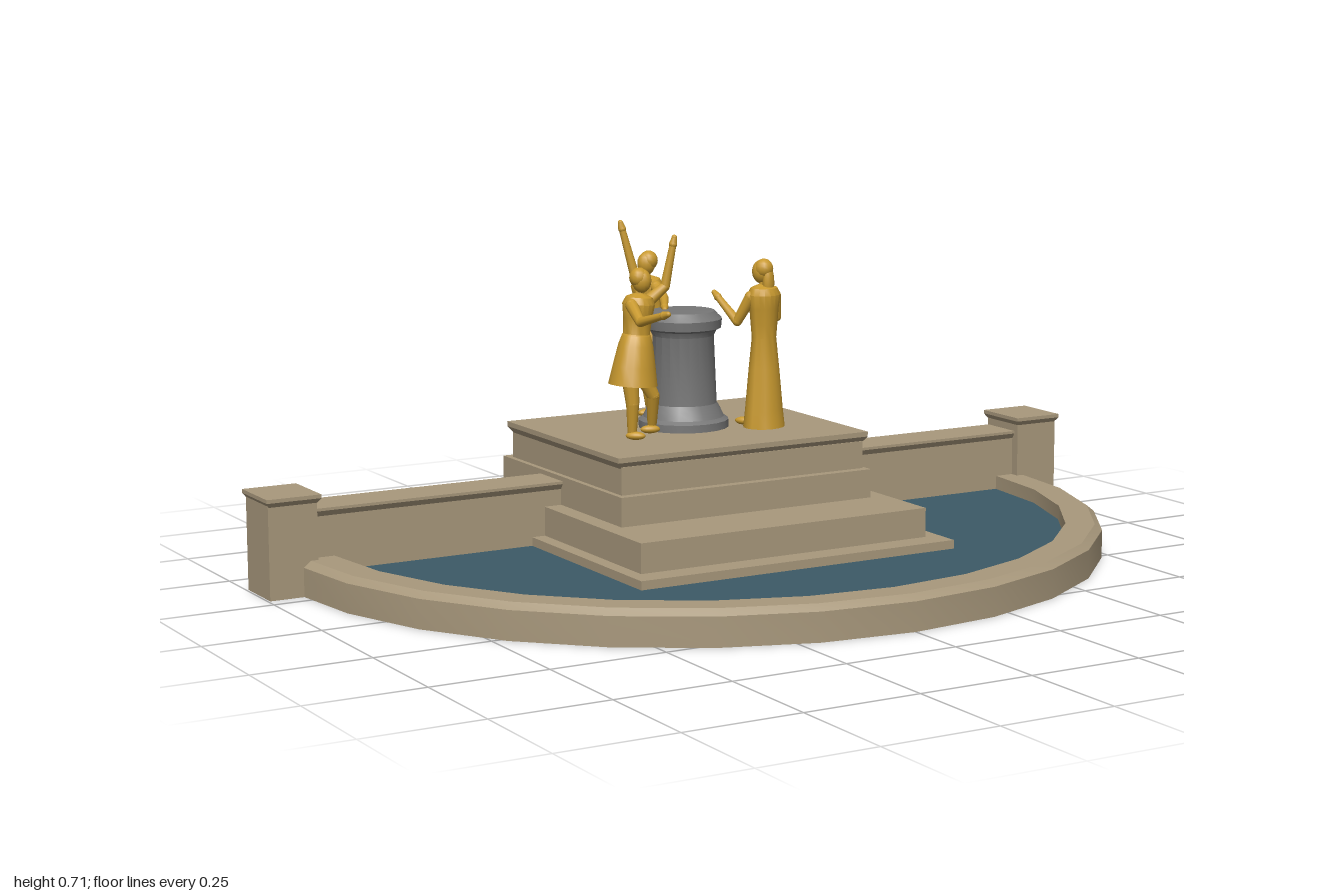
import * as THREE from 'three';
import { toCreasedNormals } from 'three/addons/utils/BufferGeometryUtils.js';

const mat = (name, color) => {
  const m = new THREE.MeshStandardMaterial({ color });
  m.name = name;
  return m;
};
const V = (p) => new THREE.Vector3(...p);

export function createModel() {
  const stone = mat('stone', 0xa8987c);
  const water = mat('water', 0x3c5a66);
  const grey = mat('greyStone', 0x777777);
  const gold = mat('gold', 0xc8992f);
  const root = new THREE.Group();
  root.name = 'fountain';

  const add = (name, geo, material, pos = [0, 0, 0], parent = root) => {
    const m = new THREE.Mesh(geo, material);
    m.name = name;
    m.position.set(...pos);
    parent.add(m);
    return m;
  };
  // Box given by its limits; inset pulls the bottom edge in to make a coved cap
  const block = (name, x0, x1, y0, y1, z0, z1, inset = 0) => {
    const w = x1 - x0, h = y1 - y0, d = z1 - z0;
    const g = new THREE.BoxGeometry(w, h, d);
    const p = g.attributes.position;
    for (let i = 0; i < p.count; i++) {
      if (p.getY(i) < 0) {
        p.setX(i, p.getX(i) * (1 - 2 * inset / w));
        p.setZ(i, p.getZ(i) * (1 - 2 * inset / d));
      }
    }
    g.computeVertexNormals();
    add(name, g, stone, [(x0 + x1) / 2, (y0 + y1) / 2, (z0 + z1) / 2]);
  };
  const lathe = (pts, seg, start = 0, len = Math.PI * 2, crease = 0.5) => toCreasedNormals(
    new THREE.LatheGeometry(pts.map((p) => new THREE.Vector2(...p)), seg, start, len), crease);

  // Stepped plinth
  block('plinthBase', -0.383, 0.383, 0, 0.063, -0.613, 0.187);
  block('lowerStep', -0.352, 0.348, 0.063, 0.127, -0.553, 0.13);
  block('upperStep', -0.312, 0.308, 0.127, 0.19, -0.585, -0.027);
  block('plinthBlock', -0.3, 0.3, 0.19, 0.25, -0.56, -0.048);
  block('plinthCapMoulding', -0.31, 0.31, 0.246, 0.26, -0.567, -0.043, 0.01);
  block('plinthCap', -0.31, 0.31, 0.26, 0.271, -0.567, -0.043);

  // Side walls and end piers
  for (const s of [-1, 1]) {
    const side = (name, a, b, ...rest) =>
      block(name, Math.min(s * a, s * b), Math.max(s * a, s * b), ...rest);
    side('wall', 0.3, 0.9, 0, 0.165, -0.393, -0.303);
    side('wallCapMoulding', 0.29, 0.9, 0.162, 0.174, -0.4, -0.295, 0.008);
    side('wallCap', 0.29, 0.9, 0.174, 0.18, -0.4, -0.295);
    side('pier', 0.887, 0.995, 0, 0.2, -0.403, -0.282);
    side('pierCapMoulding', 0.88, 1, 0.196, 0.206, -0.411, -0.274, 0.007);
    side('pierCap', 0.88, 1, 0.206, 0.214, -0.411, -0.274);
  }

  // Half-round basin with water
  const H = Math.PI / 2;
  add('basinRim', lathe([[0.84, 0], [0.923, 0], [0.923, 0.062], [0.907, 0.075],
    [0.843, 0.075], [0.84, 0]], 14, -H, Math.PI, 0.4), stone, [0, 0, -0.31]);
  add('basinWater', new THREE.CylinderGeometry(0.845, 0.845, 0.044, 14, 1, false, -H, Math.PI),
    [stone, water, stone], [0, 0.022, -0.31]);

  // Central altar
  add('altar', lathe([[0, 0.27], [0.1, 0.27], [0.1, 0.288], [0.09, 0.295], [0.082, 0.312],
    [0.074, 0.325], [0.068, 0.475], [0.074, 0.487], [0.084, 0.492], [0.086, 0.512],
    [0.078, 0.52], [0.07, 0.529], [0, 0.532]], 20), grey, [0, 0, -0.315]);

  // Jointed limb through a list of points, tapering from r0 to r1
  const limb = (parent, name, pts, r0, r1) => {
    const g = new THREE.Group();
    g.name = name;
    parent.add(g);
    const n = pts.length - 1;
    const rad = (i) => r0 + (r1 - r0) * i / n;
    pts.forEach((p, i) => {
      add('joint', new THREE.SphereGeometry(rad(i), 10, 8), gold, p, g);
      if (i === n) return;
      const a = V(p), d = V(pts[i + 1]).sub(a);
      const c = add('segment', new THREE.CylinderGeometry(rad(i + 1), rad(i), d.length(), 10), gold,
        a.clone().addScaledVector(d, 0.5).toArray(), g);
      c.quaternion.setFromUnitVectors(new THREE.Vector3(0, 1, 0), d.normalize());
    });
  };
  const blob = (parent, name, pos, scale, turn = 0) => {
    const m = add(name, new THREE.SphereGeometry(1, 14, 10), gold, pos, parent);
    m.scale.set(...scale);
    m.rotation.y = turn;
  };

  const bodice = [[0.034, 0.5], [0.037, 0.535], [0.042, 0.565], [0.034, 0.58], [0.012, 0.588], [0.011, 0.61]];
  const shortSkirt = [[0, 0.392], [0.063, 0.39], [0.055, 0.43], [0.045, 0.475], [0.037, 0.497]];
  const longSkirt = [[0, 0.271], [0.053, 0.271], [0.048, 0.31], [0.039, 0.4], [0.031, 0.47]];

  // turn is the way the figure faces, as an angle about y from +z
  const figure = (name, { at, head, turn, lean, skirt, arms, legs, feet, hair }) => {
    const g = new THREE.Group();
    g.name = name;
    root.add(g);
    const body = add('dress', lathe([...skirt, ...bodice].map(([r, y]) => [r, y - 0.39]), 18, 0,
      Math.PI * 2, 0.7), gold, [at[0], 0.39, at[1]], g);
    body.scale.z = 0.85;
    body.rotation.set(0, turn, lean, 'ZYX');
    const [hx, hz] = head;
    blob(g, 'head', [hx, 0.615, hz], [0.019, 0.026, 0.021], turn);
    blob(g, 'hair', [hx - Math.sin(turn) * 0.006, 0.622, hz - Math.cos(turn) * 0.006],
      [0.021, 0.022, 0.021], turn);
    if (hair) blob(g, 'longHair', [hx - Math.sin(turn) * 0.017, 0.59, hz - Math.cos(turn) * 0.017],
      [0.018, 0.04, 0.012], turn);
    arms.forEach((a) => {
      limb(g, 'arm', a, 0.014, 0.0075);
      const e = V(a[2]), d = e.clone().sub(V(a[1])).normalize();
      limb(g, 'hand', [a[2], e.addScaledVector(d, 0.015).toArray()], 0.009, 0.006);
    });
    legs.forEach((l) => limb(g, 'leg', l, 0.019, 0.01));
    feet.forEach(([p, t]) => blob(g, 'foot', p, [0.011, 0.009, 0.022], t));
  };

  figure('rightDancer', {
    at: [-0.172, -0.232], head: [-0.155, -0.22], turn: 0.9, lean: -0.09, skirt: shortSkirt,
    arms: [
      [[-0.125, 0.567, -0.245], [-0.088, 0.597, -0.238], [-0.072, 0.688, -0.23]],
      [[-0.185, 0.565, -0.21], [-0.197, 0.537, -0.15], [-0.182, 0.559, -0.075]]],
    legs: [
      [[-0.185, 0.41, -0.22], [-0.182, 0.35, -0.215], [-0.181, 0.283, -0.22]],
      [[-0.145, 0.41, -0.245], [-0.118, 0.36, -0.24], [-0.11, 0.29, -0.26]]],
    feet: [[[-0.178, 0.281, -0.21], 0.9], [[-0.117, 0.283, -0.255], 1.2]],
  });
  figure('backDancer', {
    at: [0.022, -0.487], head: [0, -0.482], turn: -H, lean: 0.1, skirt: shortSkirt,
    arms: [
      [[0.006, 0.565, -0.447], [0.002, 0.545, -0.405], [-0.024, 0.533, -0.355]],
      [[0.006, 0.565, -0.518], [0, 0.588, -0.54], [-0.022, 0.687, -0.554]]],
    legs: [
      [[0.01, 0.41, -0.46], [-0.012, 0.35, -0.457], [-0.005, 0.284, -0.456]],
      [[0.035, 0.41, -0.505], [0.035, 0.345, -0.507], [0.098, 0.318, -0.51]]],
    feet: [[[-0.015, 0.281, -0.456], -H], [[0.11, 0.308, -0.512], 0.3]],
  });
  figure('leftDancer', {
    at: [0.152, -0.222], head: [0.147, -0.225], turn: -2.5, lean: 0, skirt: longSkirt, hair: true,
    arms: [
      [[0.12, 0.56, -0.225], [0.1, 0.505, -0.25], [0.087, 0.553, -0.312]],
      [[0.183, 0.56, -0.228], [0.195, 0.51, -0.24], [0.19, 0.55, -0.27]]],
    legs: [], feet: [[[0.125, 0.279, -0.262], -2.5], [[0.16, 0.279, -0.27], -2.5]],
  });
  return root;
}
